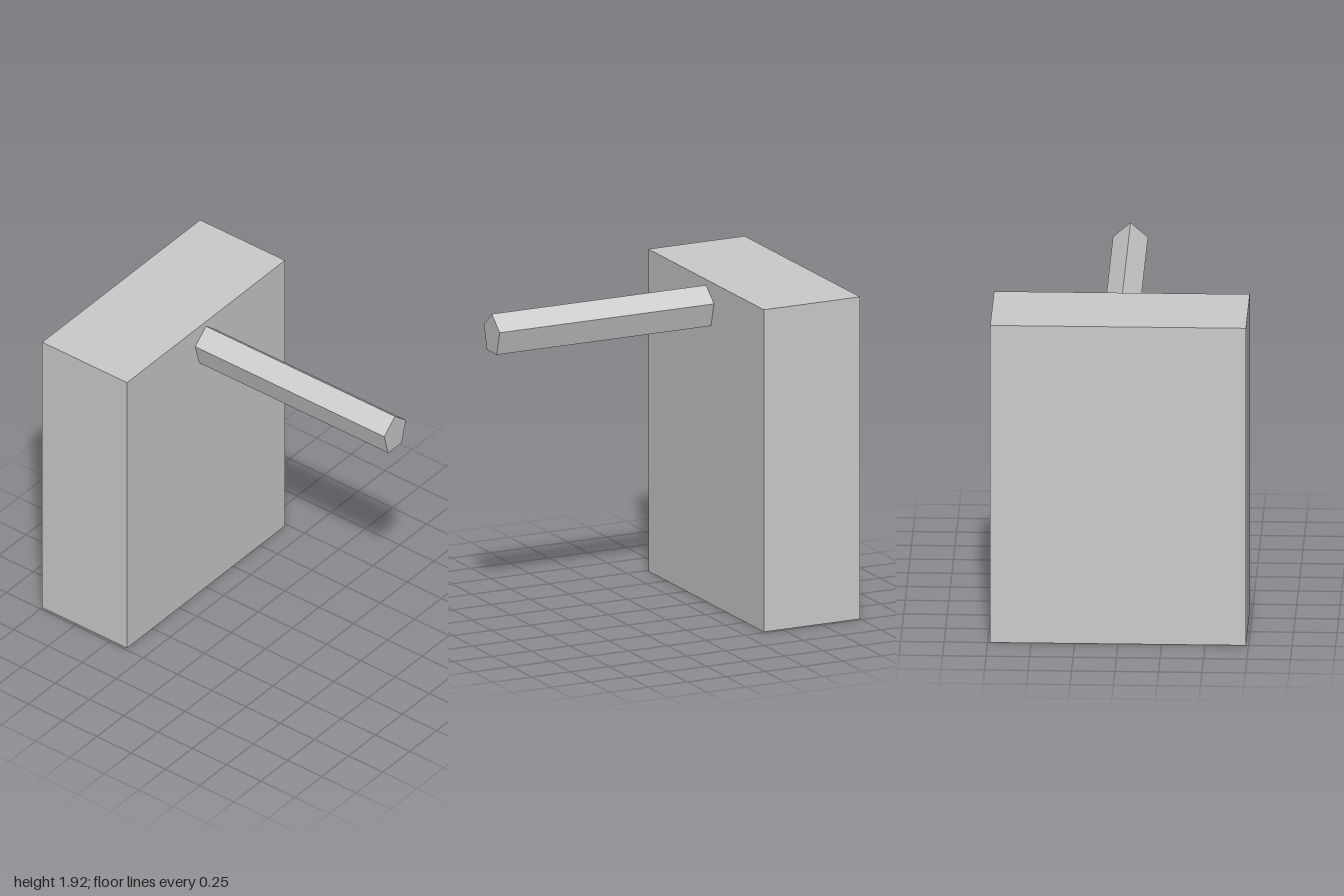
import * as THREE from 'three';

export function createModel() {
  const group = new THREE.Group();
  const material = new THREE.MeshStandardMaterial({ color: 0xcccccc, flatShading: true });

  // Upright slab standing on the ground
  const height = 1.92, innerX = -0.38;
  const slab = new THREE.Mesh(new THREE.BoxGeometry(innerX + 1, height, 1.47), material);
  slab.name = 'slab';
  slab.position.set((innerX - 1) / 2, height / 2, 0);
  group.add(slab);

  // Five-sided bar, point up, slightly narrower than tall
  const length = 1 - innerX;
  const barGeometry = new THREE.CylinderGeometry(1, 1, length, 5, 1, false, -Math.PI / 2);
  barGeometry.scale(0.126, 1, 0.106);
  barGeometry.rotateZ(-Math.PI / 2);
  const bar = new THREE.Mesh(barGeometry, material);
  bar.name = 'bar';
  bar.position.set((innerX + 1) / 2, 1.76, 0);
  group.add(bar);

  return group;
}
